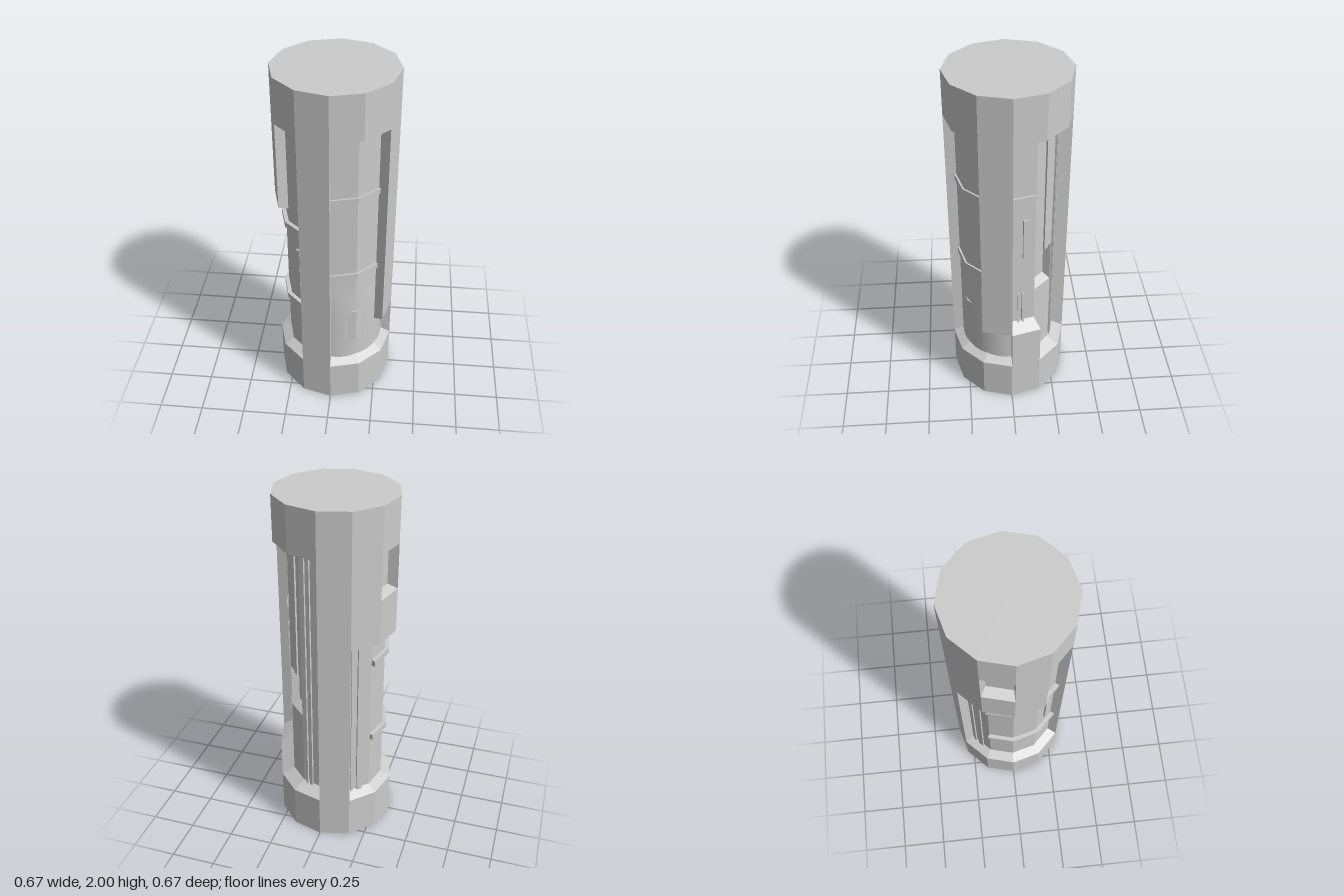
import * as THREE from 'three';
import { toCreasedNormals } from 'three/addons/utils/BufferGeometryUtils.js';

const R = 0.333, CORE = 0.277, BACK = 0.26; // outer, core and deep recess radii
const material = new THREE.MeshStandardMaterial({ color: 0xcccccc });
const rad = THREE.MathUtils.degToRad;

// Scale that turns a circle into a 12-sided outline, for an angle in degrees
const facet = (deg) => Math.cos(rad(15)) / Math.cos(rad((((deg % 30) + 30) % 30) - 15));

// Curved block following the 12-sided outline from angle a0 to a1.
// bottom and top lift the inner edges; slope lifts the far end.
function wedge(a0, a1, r0, r1, y0, y1, { bottom = 0, top = 0, slope = 0 } = {}) {
  const angles = [a0];
  for (let a = (Math.floor(a0 / 30) + 1) * 30; a < a1; a += 30) angles.push(a);
  angles.push(a1);
  const sections = angles.map((a) => {
    const lift = (slope * (a - a0)) / (a1 - a0);
    return [[r0, y0 + bottom], [r1, y0], [r1, y1], [r0, y1 + top]].map(([r, y]) => {
      const d = r * facet(a);
      return [d * Math.cos(rad(a)), y + lift, d * Math.sin(rad(a))];
    });
  });
  const pos = [];
  const quad = (a, b, c, d) => [a, b, c, a, c, d].forEach((p) => pos.push(...p));
  for (let s = 0; s < sections.length - 1; s++) {
    const p = sections[s], q = sections[s + 1];
    for (let i = 0; i < 4; i++) {
      const j = (i + 1) % 4;
      quad(p[i], p[j], q[j], q[i]);
    }
  }
  quad(...[...sections[0]].reverse());
  quad(...sections[sections.length - 1]);
  const geo = new THREE.BufferGeometry();
  geo.setAttribute('position', new THREE.Float32BufferAttribute(pos, 3));
  geo.computeVertexNormals();
  return geo;
}

// End cap with a sloping shoulder
function capGeometry() {
  const profile = [[0, 0], [R, 0], [R, 0.25], [BACK - 0.02, 0.3], [0, 0.3]];
  const geo = new THREE.LatheGeometry(profile.map(([x, y]) => new THREE.Vector2(x, y)), 12);
  return toCreasedNormals(geo, 0.1);
}

// Front quarter of the core: 12-sided above, blending to round below
function frontCoreGeometry() {
  const geo = new THREE.CylinderGeometry(CORE, CORE, 1.5, 18, 20, true, 0, Math.PI / 2);
  const p = geo.attributes.position;
  for (let i = 0; i < p.count; i++) {
    const deg = Math.round(THREE.MathUtils.radToDeg(Math.atan2(p.getZ(i), p.getX(i))));
    const blend = THREE.MathUtils.smoothstep(p.getY(i) + 1, 0.6, 0.85);
    const k = THREE.MathUtils.lerp(1, facet(deg), blend);
    p.setX(i, p.getX(i) * k);
    p.setZ(i, p.getZ(i) * k);
  }
  geo.translate(0, 1, 0);
  return toCreasedNormals(geo, 0.3);
}

export function createModel() {
  const model = new THREE.Group();
  const add = (name, geo) => {
    const mesh = new THREE.Mesh(geo, material);
    mesh.name = name;
    model.add(mesh);
    return mesh;
  };

  // End caps
  add('bottomCap', capGeometry());
  const topCap = add('topCap', capGeometry());
  topCap.rotation.x = Math.PI;
  topCap.position.y = 2;

  // Core
  add('frontCore', frontCoreGeometry());
  add('sideCore', wedge(90, 270, 0.15, CORE, 0.25, 1.75));
  add('backCore', wedge(270, 300, 0.15, BACK, 0.25, 1.75));
  add('backCore', wedge(330, 360, 0.15, BACK, 0.25, 1.75));

  // Back core face with a bevelled pocket
  add('pocketLower', wedge(300, 330, 0.2, BACK, 0.25, 0.75, { top: 0.04 }));
  add('pocketUpper', wedge(300, 330, 0.2, BACK, 1.0, 1.75, { bottom: -0.04 }));
  add('pocketFloor', wedge(300, 330, 0.15, 0.215, 0.7, 1.05));

  // Outer shell panels: start angle, end angle, bottom, top, bevels
  const panels = [
    [0, 30, 0.5, 1.75, { bottom: -0.03 }],
    [90, 120, 0.25, 1.75],
    [150, 180, 1.25, 1.75, { bottom: -0.03 }],
    [180, 210, 1.25, 1.5, { bottom: -0.03, top: 0.03 }],
    [210, 240, 1.25, 1.75, { bottom: -0.03 }],
    [240, 270, 0.25, 1.75],
    [330, 360, 0.25, 0.5, { top: 0.05 }],
  ];
  for (const [a0, a1, y0, y1, bevel] of panels) {
    add('shellPanel', wedge(a0, a1, BACK - 0.01, R, y0, y1, bevel));
  }

  // Raised bands around the core
  const bands = [
    [30, 90, 0.287, 1.36], [30, 90, 0.287, 0.865],
    [120, 210, 0.3, 1.125, -0.03], [120, 210, 0.3, 0.61],
    [332, 360, 0.272, 1.365],
  ];
  for (const [a0, a1, r, y, slope = 0] of bands) {
    add('band', wedge(a0, a1, 0.24, r, y, y + 0.033, { slope }));
  }

  // Thin upright strips: start angle, end angle, radius, bottom, top
  const strips = [
    [130, 136, 0.287, 0.75, 1.0],
    [221, 228, 0.288, 0.25, 1.25], [233, 236, 0.286, 0.25, 1.25],
    [285, 289, 0.272, 0.27, 1.74], [292, 295, 0.27, 0.27, 1.74],
    [308, 315, 0.27, 1.0, 1.74],
    [340, 346, 0.272, 1.0, 1.25],
    [344, 347, 0.272, 0.5, 0.75], [350, 353, 0.272, 0.5, 0.75],
  ];
  for (const [a0, a1, r, y0, y1] of strips) add('strip', wedge(a0, a1, 0.24, r, y0, y1));

  // Small plate low on the front
  add('plate', wedge(47, 73, 0.24, 0.285, 0.4, 0.62));

  return model;
}
